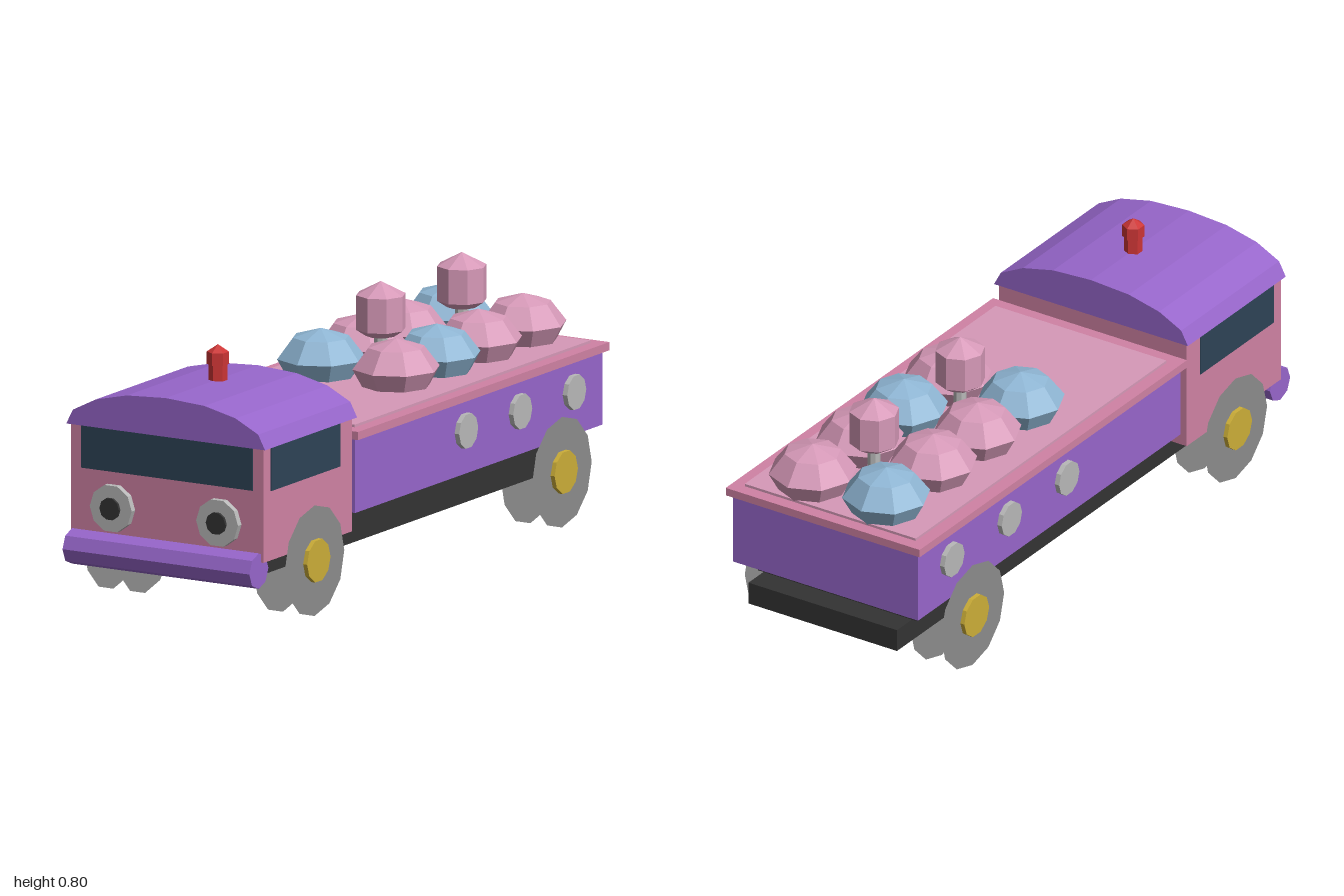
import * as THREE from 'three';

const mat = (name, color, side = THREE.FrontSide) => {
  const m = new THREE.MeshStandardMaterial({ color, flatShading: true, side });
  m.name = name;
  return m;
};

export function createModel() {
  const truck = new THREE.Group();
  truck.name = 'truck';

  const pink = mat('pink', 0xd082a4);
  const palePink = mat('pale pink', 0xd699b8);
  const purple = mat('purple', 0x9766cb);
  const blue = mat('blue', 0x8fb6d4);
  const glass = mat('window glass', 0x2e4356);
  const black = mat('black', 0x333333);
  const silver = mat('silver', 0xb8b8b8);
  const grey = mat('wheel grey', 0x8c8c8c, THREE.DoubleSide);
  const gold = mat('gold', 0xccae38);
  const red = mat('red', 0xcc3535);

  const add = (name, geo, material, x = 0, y = 0, z = 0) => {
    const m = new THREE.Mesh(geo, material);
    m.name = name;
    m.position.set(x, y, z);
    truck.add(m);
    return m;
  };
  // box given by its limits, centred on x
  const box = (name, material, halfX, y0, y1, z0, z1) =>
    add(name, new THREE.BoxGeometry(2 * halfX, y1 - y0, z1 - z0), material, 0, (y0 + y1) / 2, (z0 + z1) / 2);
  // short cylinders lying along x or z, with a corner on the horizontal axis
  const discX = (r, len, n) => new THREE.CylinderGeometry(r, r, len, n).rotateZ(Math.PI / 2);
  const discZ = (r, len, n) => new THREE.CylinderGeometry(r, r, len, n).rotateY(Math.PI / 2).rotateX(Math.PI / 2);
  const lathe = (pts, n) => new THREE.LatheGeometry(pts.map(p => new THREE.Vector2(...p)), n);

  // chassis
  box('chassis', black, 0.265, 0.145, 0.215, -1, 0.94);
  box('subframe', black, 0.285, 0.215, 0.262, -0.92, 0.42);

  // cargo bed
  box('cargoBody', purple, 0.33, 0.26, 0.485, -0.985, 0.41);
  box('cargoRim', pink, 0.346, 0.485, 0.51, -1, 0.42);
  box('cargoTop', palePink, 0.305, 0.51, 0.518, -0.96, 0.372);

  // cab and its windows
  box('cab', pink, 0.335, 0.21, 0.556, 0.435, 0.935);
  add('windshield', new THREE.BoxGeometry(0.596, 0.131, 0.006), glass, 0, 0.4905, 0.935);
  for (const s of [-1, 1])
    add('sideWindow', new THREE.BoxGeometry(0.006, 0.135, 0.39), glass, s * 0.335, 0.4885, 0.7);

  // arched roof
  const half = [[0.346, 0.555], [0.322, 0.6], [0.243, 0.64], [0.135, 0.665]];
  const arch = [...half, [0, 0.673], ...half.map(([x, y]) => [-x, y]).reverse()];
  const roofShape = new THREE.Shape(arch.map(p => new THREE.Vector2(...p)));
  add('roof', new THREE.ExtrudeGeometry(roofShape, { depth: 0.52, bevelEnabled: false }), purple, 0, 0, 0.425);

  // roof beacon
  const beacon = lathe([[0, 0.665], [0.028, 0.665], [0.028, 0.72], [0.033, 0.72], [0.033, 0.758], [0, 0.78]], 6);
  add('beacon', beacon, red, 0, 0, 0.65);

  // bumper
  add('bumper', discX(0.054, 0.65, 8), purple, 0, 0.186, 0.946);

  for (const s of [-1, 1]) {
    // headlights
    add('headlight', discZ(0.073, 0.025, 10), silver, s * 0.185, 0.317, 0.9425);
    add('headlightLens', discZ(0.034, 0.02, 10), black, s * 0.185, 0.317, 0.954);

    // round side lamps
    for (const z of [-0.205, -0.51, -0.815])
      add('sideLamp', discX(0.054, 0.02, 10), silver, s * 0.336, 0.393, z);

    // wheels: an outer and an inner disc, plus a hub
    for (const z of [0.672, -0.725]) {
      for (const x of [0.35, 0.24])
        add('wheelDisc', new THREE.CircleGeometry(0.168, 12).rotateY(s * Math.PI / 2), grey, s * x, 0.168, z);
      add('wheelHub', discX(0.066, 0.014, 10), gold, s * 0.358, 0.17, z);
    }
  }

  // two rows of faceted domes
  const dome = lathe([[0, 0.512], [0.1, 0.512], [0.133, 0.572], [0.085, 0.635], [0, 0.661]], 8);
  [-0.145, -0.375, -0.61, -0.86].forEach((z, i) => {
    add('dome', dome, i === 0 || i === 3 ? blue : palePink, -0.132, 0, z);
    add('dome', dome, i === 1 ? blue : palePink, 0.13, 0, z);
  });

  // raised finials on stems between the domes
  const finial = lathe([[0, 0.63], [0.045, 0.63], [0.075, 0.65], [0.075, 0.755], [0, 0.795]], 8);
  for (const z of [-0.27, -0.727]) {
    add('finial', finial, palePink, 0, 0, z);
    add('finialStem', new THREE.CylinderGeometry(0.02, 0.02, 0.13, 8), silver, 0, 0.575, z);
  }

  return truck;
}
